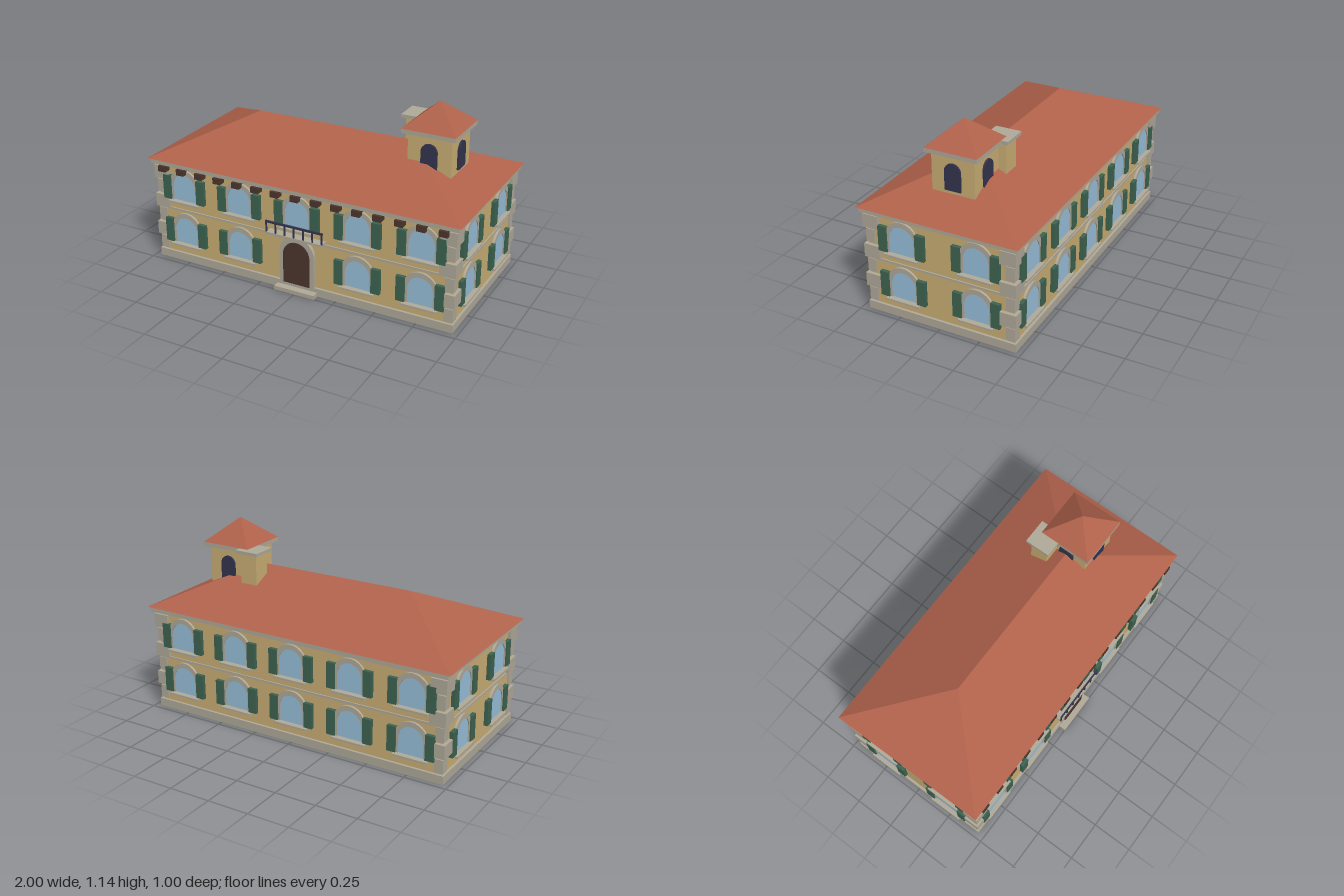
import * as THREE from 'three';

const mat = (name, color) => {
  const m = new THREE.MeshStandardMaterial({ color });
  m.name = name;
  return m;
};

export function createModel() {
  const wall = mat('ochre plaster', 0xc9ae74);
  const stone = mat('grey stone', 0xb0a999);
  const tile = mat('terracotta tile', 0xb0624b);
  const glass = mat('window glass', 0x98bfda);
  const green = mat('green shutter', 0x3d6350);
  const wood = mat('dark wood', 0x4c352d);
  const iron = mat('dark iron', 0x33344d);

  const villa = new THREE.Group();
  villa.name = 'villa';
  villa.position.z = -0.004;
  const W = 0.953, D = 0.448; // half width and half depth of the walls

  function add(parent, name, geo, material, x = 0, y = 0, z = 0) {
    const m = new THREE.Mesh(geo, material);
    m.name = name;
    m.position.set(x, y, z);
    parent.add(m);
    return m;
  }
  // Box given by its centre in x and z, and its bottom and top heights
  function box(parent, name, material, w, d, y0, y1, x = 0, z = 0) {
    return add(parent, name, new THREE.BoxGeometry(w, y1 - y0, d), material, x, (y0 + y1) / 2, z);
  }
  // Round-headed outline standing on y = 0
  function trace(path, r, h) {
    path.moveTo(-r, 0);
    path.lineTo(r, 0);
    path.lineTo(r, h - r);
    path.absarc(0, h - r, r, 0, Math.PI, false);
    path.lineTo(-r, 0);
    return path;
  }
  function arch(r, h, depth, holeR, holeH) {
    const shape = trace(new THREE.Shape(), r, h);
    if (holeR) shape.holes.push(trace(new THREE.Path(), holeR, holeH));
    return new THREE.ExtrudeGeometry(shape, { depth, bevelEnabled: false, curveSegments: 12 });
  }
  // Hipped roof with half sizes w, d and half ridge length r
  function hip(w, d, h, r) {
    const a = [-w, 0, d], b = [w, 0, d], c = [w, 0, -d], e = [-w, 0, -d], p = [-r, h, 0], q = [r, h, 0];
    const tris = [a, b, q, c, e, p, b, c, q, e, a, p, a, e, c, a, c, b];
    if (r > 0) tris.push(a, q, p, c, p, q);
    const g = new THREE.BufferGeometry();
    g.setAttribute('position', new THREE.Float32BufferAttribute(tris.flat(), 3));
    g.computeVertexNormals();
    return g;
  }

  // Body and stone bands
  box(villa, 'walls', wall, 2 * W, 2 * D, 0.04, 0.63);
  box(villa, 'plinth', stone, 1.936, 0.927, 0, 0.05);
  box(villa, 'beltCourse', stone, 2 * W + 0.016, 2 * D + 0.016, 0.329, 0.342);
  box(villa, 'cornice', stone, 1.97, 0.962, 0.62, 0.65);
  add(villa, 'mainRoof', hip(1, 0.4925, 0.227, 0.505), tile, 0, 0.65);

  // Alternating corner stones
  for (const sx of [-1, 1]) for (const sz of [-1, 1]) for (let i = 0; i < 6; i++) {
    const long = i % 2 === 1;
    const s = long ? 0.097 : 0.054, out = long ? 0.02 : 0.009, y = 0.058 + i * 0.0935;
    box(villa, 'cornerStone', stone, s, s, y, y + 0.082, sx * (W + out - s / 2), sz * (D + out - s / 2));
  }

  // Windows with frame, sill and a pair of shutters
  const frameGeo = arch(0.103, 0.2, 0.014, 0.077, 0.17);
  const glassGeo = arch(0.077, 0.17, 0.009);
  function makeWindow(parent, x, y, z) {
    const g = new THREE.Group();
    g.name = 'window';
    g.position.set(x, y, z);
    parent.add(g);
    add(g, 'windowFrame', frameGeo, stone);
    add(g, 'windowPane', glassGeo, glass);
    box(g, 'windowSill', stone, 0.212, 0.034, -0.017, -0.005, 0, 0.017);
    for (const s of [-1, 1]) box(g, 'shutter', green, 0.054, 0.023, 0, 0.153, s * 0.116, 0.0115);
  }
  function facade(name, angle, z, columns) {
    const f = new THREE.Group();
    f.name = name;
    f.rotation.y = angle;
    villa.add(f);
    for (const y of [0.12, 0.404]) for (const x of columns) {
      if (name === 'frontFacade' && x === 0 && y < 0.3) continue; // the door stands here
      makeWindow(f, x, y, z);
    }
  }
  const five = [-0.768, -0.384, 0, 0.384, 0.768], two = [-0.228, 0.228];
  facade('frontFacade', 0, D, five);
  facade('backFacade', Math.PI, D, five);
  facade('leftFacade', Math.PI / 2, W, two);
  facade('rightFacade', -Math.PI / 2, W, two);

  // Entrance
  add(villa, 'doorSurround', arch(0.113, 0.303, 0.021), stone, 0, 0.05, D);
  add(villa, 'door', arch(0.085, 0.267, 0.007), wood, 0, 0.05, D + 0.021);
  box(villa, 'doorStep', stone, 0.262, 0.08, 0, 0.025, 0, 0.467);

  // Balcony
  box(villa, 'balconySlab', stone, 0.364, 0.06, 0.347, 0.361, 0, 0.471);
  box(villa, 'balconyRail', iron, 0.37, 0.009, 0.421, 0.433, 0, 0.4955);
  for (let i = 0; i < 7; i++) {
    box(villa, 'baluster', iron, 0.008, 0.008, 0.361, 0.422, -0.18 + i * 0.06, 0.4955);
  }

  // Eave brackets along the front
  for (let i = 0; i < 15; i++) {
    box(villa, 'eaveBracket', wood, 0.05, 0.05, 0.582, 0.618, -0.9 + i * 0.1286, 0.469);
  }

  // Tower with an arched opening on each side
  const tower = new THREE.Group();
  tower.name = 'tower';
  tower.position.x = 0.655;
  villa.add(tower);
  box(tower, 'towerWalls', wall, 0.262, 0.262, 0.745, 0.98);
  box(tower, 'towerCornice', stone, 0.322, 0.322, 0.975, 1.0);
  add(tower, 'towerRoof', hip(0.161, 0.161, 0.14, 0), tile, 0, 1.0);
  const openingGeo = arch(0.049, 0.16, 0.011);
  for (let i = 0; i < 4; i++) {
    const a = i * Math.PI / 2;
    const o = add(tower, 'towerOpening', openingGeo, iron, Math.sin(a) * 0.131, 0.77, Math.cos(a) * 0.131);
    o.rotation.y = a;
  }

  // Chimney
  box(villa, 'chimney', wall, 0.11, 0.11, 0.7, 0.98, 0.476, -0.124);
  box(villa, 'chimneyCap', stone, 0.155, 0.155, 0.979, 0.999, 0.476, -0.124);

  return villa;
}
